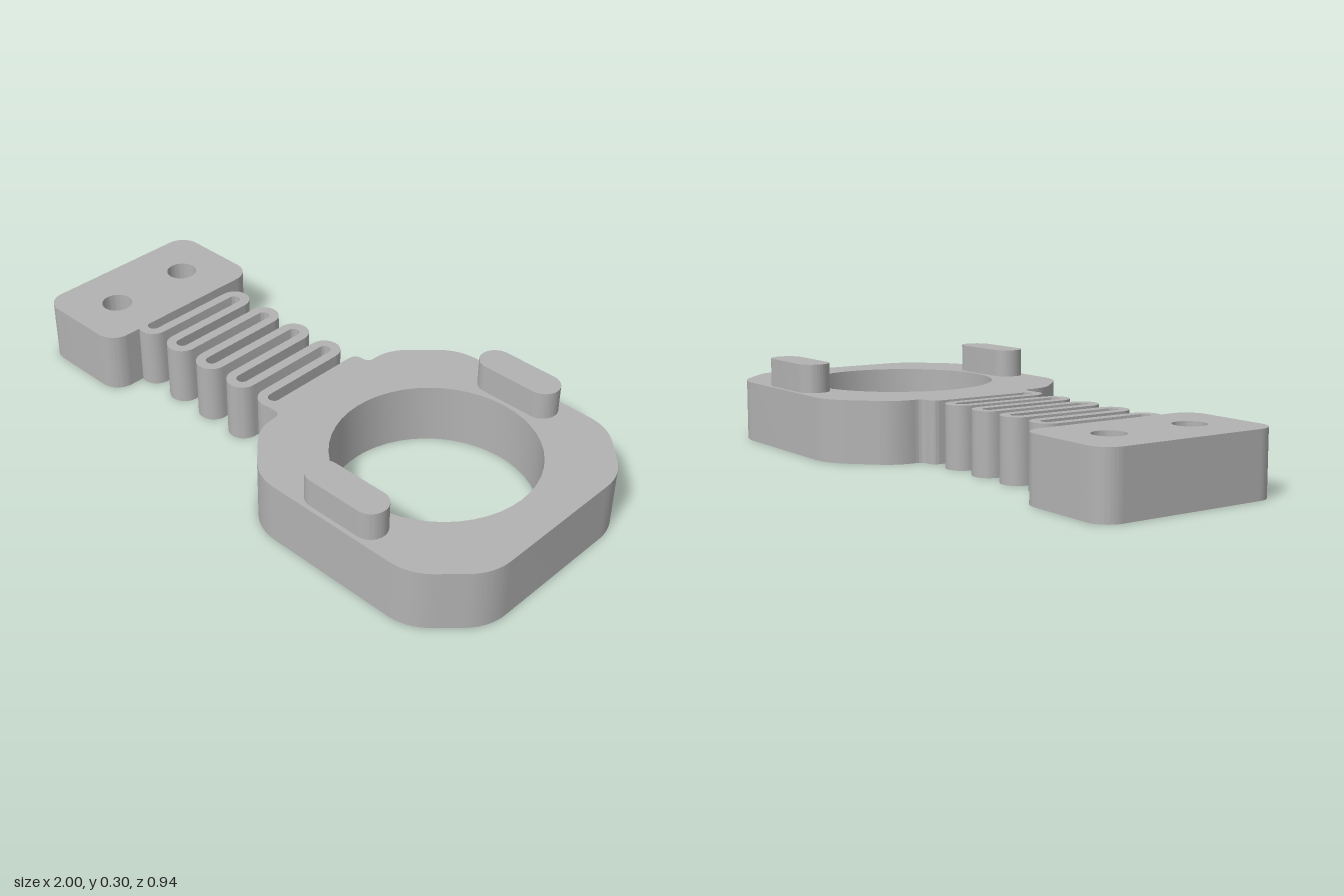
import * as THREE from 'three';
import { toCreasedNormals } from 'three/addons/utils/BufferGeometryUtils.js';

const HEIGHT = 0.207;

export function createModel() {
  const model = new THREE.Group();
  model.name = 'springMountBracket';
  const grey = new THREE.MeshStandardMaterial({ color: 0xb2b2b2 });
  grey.name = 'grey plastic';

  function add(name, geometry, parent = model) {
    const mesh = new THREE.Mesh(geometry, grey);
    mesh.name = name;
    parent.add(mesh);
    return mesh;
  }

  // Extrudes a plan shape (x, -z) upward from y0 to y1
  function slab(shape, y0, y1) {
    const g = new THREE.ExtrudeGeometry(shape, { depth: y1 - y0, bevelEnabled: false, curveSegments: 24 });
    g.rotateX(-Math.PI / 2).translate(0, y0, 0);
    return toCreasedNormals(g, 0.6);
  }

  // Polygon whose corners [x, y, t] are rounded over tangent length t
  function roundedShape(corners) {
    const shape = new THREE.Shape();
    const n = corners.length;
    corners.forEach(([x, y, t], i) => {
      const p = new THREE.Vector2(x, y);
      const toward = ([qx, qy]) => new THREE.Vector2(qx, qy).sub(p).setLength(t).add(p);
      const a = toward(corners[(i + n - 1) % n]);
      const b = toward(corners[(i + 1) % n]);
      if (i === 0) shape.moveTo(a.x, a.y);
      else shape.lineTo(a.x, a.y);
      if (t > 0) shape.quadraticCurveTo(x, y, b.x, b.y);
    });
    shape.closePath();
    return shape;
  }

  function addHole(shape, x, y, r) {
    const hole = new THREE.Path();
    hole.absarc(x, y, r, 0, Math.PI * 2, true);
    shape.holes.push(hole);
  }

  // Octagonal ring with a short neck toward the spring
  const ring = roundedShape([
    [0, -0.203, 0], [0.06, -0.203, 0.028], [0.06, -0.3, 0.065], [0.228, -0.468, 0.075],
    [0.832, -0.468, 0.075], [1, -0.3, 0.075], [1, 0.3, 0.075], [0.832, 0.468, 0.075],
    [0.228, 0.468, 0.075], [0.06, 0.3, 0.065], [0.06, 0.203, 0.028], [0, 0.203, 0.03],
  ]);
  addHole(ring, 0.53, 0, 0.328);
  add('ring', slab(ring, 0, HEIGHT));

  // Raised stadium-shaped tabs on the ring
  for (const side of [-1, 1]) {
    const tab = new THREE.Shape();
    const r = 0.055;
    const half = 0.149 - r;
    tab.absarc(0.53 + half, side * 0.398, r, -Math.PI / 2, Math.PI / 2, false);
    tab.absarc(0.53 - half, side * 0.398, r, Math.PI / 2, Math.PI * 1.5, false);
    tab.closePath();
    add(side > 0 ? 'backTab' : 'frontTab', slab(tab, HEIGHT, 0.302));
  }

  // Mounting plate: narrow screw holes above, wide countersinks below
  const plate = new THREE.Group();
  plate.name = 'mountingPlate';
  model.add(plate);
  const sink = 0.05;
  const screwR = 0.052;
  const sinkR = 0.1;
  const layers = [['plateBottom', 0, sink, sinkR], ['plateTop', sink, HEIGHT, screwR]];
  for (const [name, y0, y1, r] of layers) {
    const outline = new THREE.Shape();
    const [x0, x1, z, c] = [-1, -0.632, 0.322, 0.07];
    outline.absarc(x1 - c, z - c, c, 0, Math.PI / 2, false);
    outline.absarc(x0 + c, z - c, c, Math.PI / 2, Math.PI, false);
    outline.absarc(x0 + c, c - z, c, Math.PI, Math.PI * 1.5, false);
    outline.absarc(x1 - c, c - z, c, Math.PI * 1.5, Math.PI * 2, false);
    outline.closePath();
    for (const s of [-1, 1]) addHole(outline, -0.815, s * 0.15, r);
    add(name, slab(outline, y0, y1), plate);
  }
  for (const s of [-1, 1]) {
    // Profile runs downward so the cone faces its axis
    const cone = new THREE.LatheGeometry(
      [new THREE.Vector2(screwR, sink), new THREE.Vector2(sinkR, 0)], 48);
    add('countersink', cone, plate).position.set(-0.815, 0, s * 0.15);
  }

  // Serpentine spring: alternating U-turns joined by straight strands
  const pitch = 0.074;
  const bend = pitch / 2;
  const wall = 0.0165;
  const left = [];
  const right = [];
  for (let i = 0; i < 9; i++) {
    const top = i % 2 === 1;
    const cx = -0.612 + pitch * i;
    const cy = top ? 0.153 : -0.153;
    for (let k = 0; k <= 16; k++) {
      const a = Math.PI + (top ? -1 : 1) * Math.PI * k / 16;
      const at = (r) => new THREE.Vector2(cx + r * Math.cos(a), cy + r * Math.sin(a));
      left.push(at(top ? bend + wall : bend - wall));
      right.push(at(top ? bend - wall : bend + wall));
    }
  }
  add('serpentineSpring', slab(new THREE.Shape([...left, ...right.reverse()]), 0, HEIGHT));

  return model;
}
